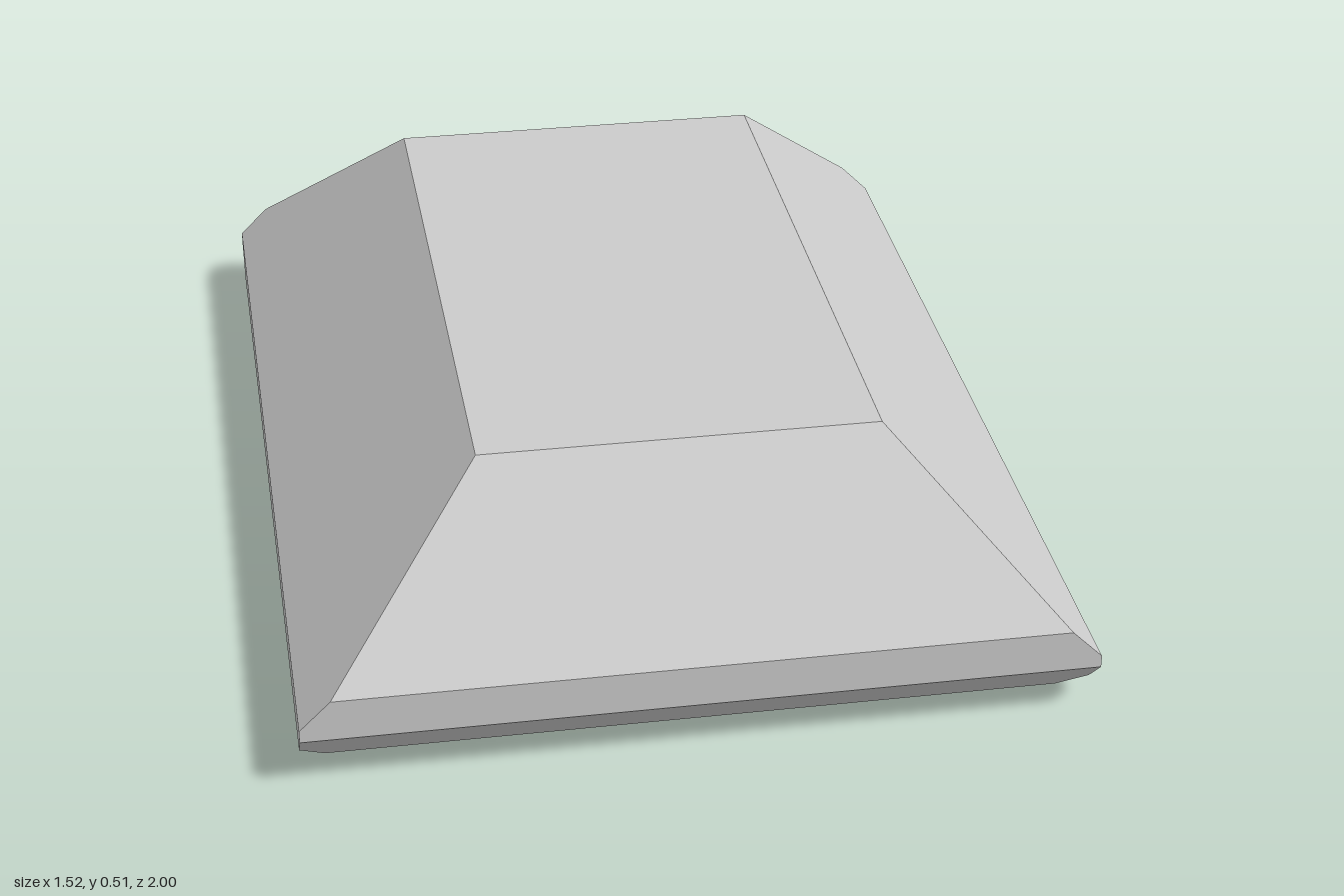
import * as THREE from 'three';
import { ConvexGeometry } from 'three/addons/geometries/ConvexGeometry.js';

export function createModel() {
  const group = new THREE.Group();
  group.name = 'bevelledBlock';

  // Rectangular sections from base to top: [height, half width, half depth]
  const sections = [
    [0, 0.71, 0.885],
    [0.05, 0.76, 0.935],
    [0.115, 0.76, 1],
    [0.14, 0.76, 1],
    [0.2, 0.7, 1],
    [0.51, 0.39, 0.69],
  ];

  // Mirror each section corner to all four sides
  const corners = [];
  for (const [y, x, z] of sections) {
    for (const sx of [-1, 1]) {
      for (const sz of [-1, 1]) corners.push(new THREE.Vector3(sx * x, y, sz * z));
    }
  }

  // Solid slab with a wide sloped top and a narrow bevel under the rim
  const body = new THREE.Mesh(
    new ConvexGeometry(corners),
    new THREE.MeshStandardMaterial({ color: 0xcccccc, flatShading: true })
  );
  body.name = 'body';
  group.add(body);
  return group;
}
